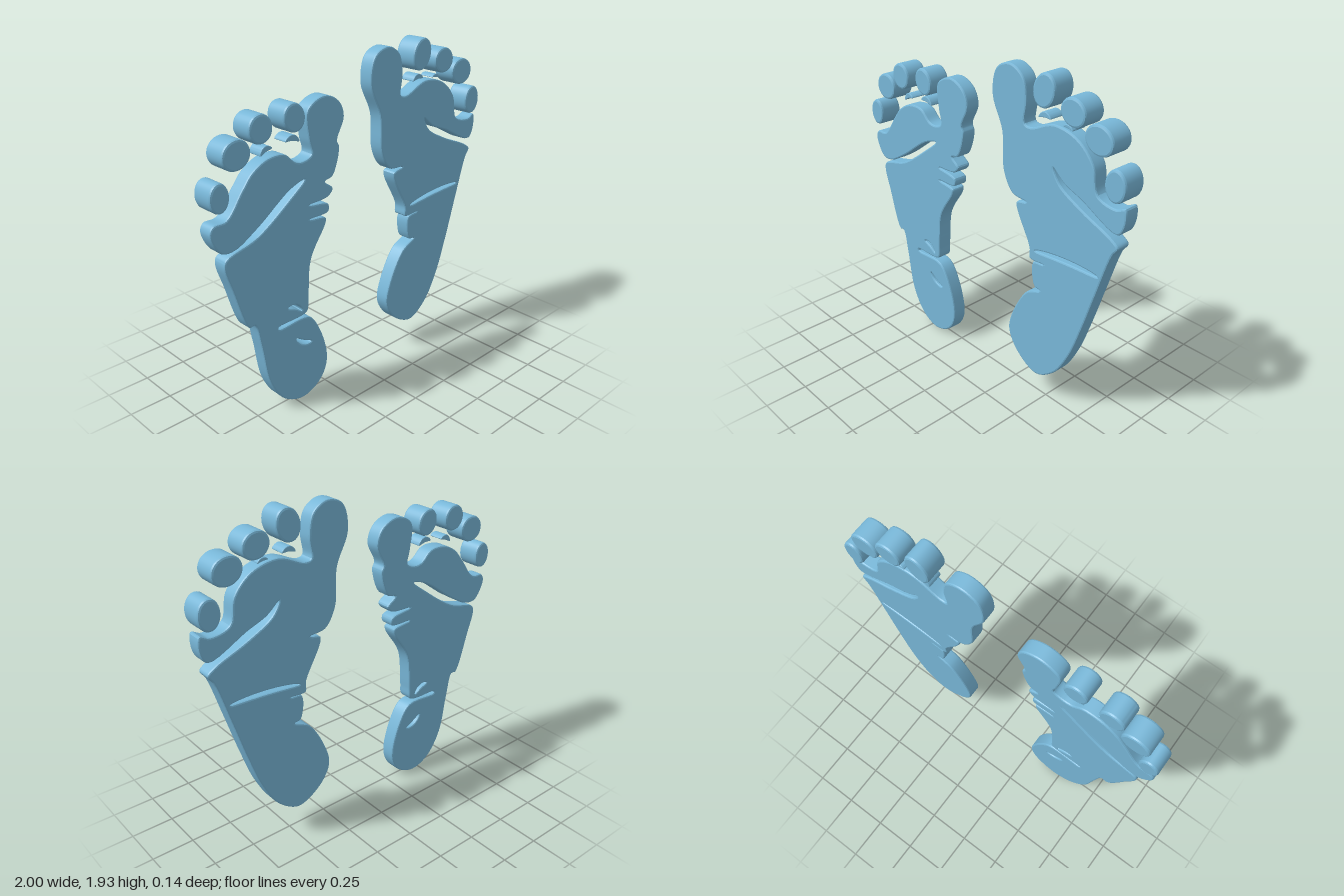
import * as THREE from 'three';
import { toCreasedNormals } from 'three/addons/utils/BufferGeometryUtils.js';

const SOLE_HALF = 0.045;
const TOE_HALF = 0.068;

// Smooth closed outline through a flat list of x, y pairs
function outline(flat) {
  const pts = [];
  for (let i = 0; i < flat.length; i += 2) pts.push(new THREE.Vector3(flat[i], flat[i + 1], 0));
  const curve = new THREE.CatmullRomCurve3(pts, true, 'centripetal');
  return curve.getPoints(pts.length * 6).slice(0, -1).map((p) => new THREE.Vector2(p.x, p.y));
}

// Tilted oval, bowed upwards in the middle by the given amount
function oval(x, y, rx, ry, tilt, bow = 0) {
  const centre = new THREE.Vector2(x, y);
  const pts = [];
  for (let i = 0; i < 40; i++) {
    const a = (i / 40) * Math.PI * 2;
    const lift = bow * (1 - 2 * Math.cos(a) ** 2);
    const p = new THREE.Vector2(rx * Math.cos(a), ry * Math.sin(a) + lift);
    pts.push(p.rotateAround(new THREE.Vector2(), tilt).add(centre));
  }
  return pts;
}

// Thin bowed oval used for skin creases and slits
function arch(x, y, rx, ry, tilt) {
  return oval(x, y, rx, ry * 0.75, tilt, ry * 0.4);
}

// Flat slab with softly rounded edges, centred on z = 0
function slab(name, points, holes, half, bevel, material) {
  const shape = new THREE.Shape(points);
  for (const hole of holes) shape.holes.push(new THREE.Path(hole));
  const geometry = new THREE.ExtrudeGeometry(shape, {
    depth: 2 * (half - bevel), steps: 1, bevelEnabled: true, bevelSegments: 2,
    bevelThickness: bevel, bevelSize: bevel, bevelOffset: -bevel,
  });
  geometry.translate(0, 0, bevel - half);
  const mesh = new THREE.Mesh(toCreasedNormals(geometry, 0.36), material);
  mesh.name = name;
  return mesh;
}

// Left sole: big toe and ball, crease, outer edge and heel, inner edge
const leftSole = [
  0.21, 1.92, 0.3, 1.87, 0.328, 1.75, 0.318, 1.635, 0.36, 1.625, 0.52, 1.685, 0.68, 1.65,
  0.78, 1.55, 0.815, 1.41, 0.93, 1.38, 0.985, 1.4, 0.99, 1.31, 0.95, 1.25,
  0.72, 1.35, 0.6, 1.4, 0.525, 1.46, 0.57, 1.385, 0.72, 1.3, 0.92, 1.215,
  0.96, 1.18, 0.93, 1.13, 0.85, 0.88, 0.77, 0.62, 0.69, 0.4, 0.585, 0.23, 0.45, 0.15,
  0.3, 0.225, 0.23, 0.34, 0.245, 0.45, 0.36, 0.66, 0.46, 0.715,
  0.42, 0.725, 0.405, 0.87, 0.48, 0.885, 0.38, 0.885, 0.375, 0.95, 0.27, 1.18,
  0.34, 1.205, 0.24, 1.22, 0.17, 1.33, 0.155, 1.55, 0.08, 1.73, 0.11, 1.88,
];

// Right sole: big toe and wrinkles, crease, heel and outer edge, crease, ball
const rightSole = [
  -0.26, 1.735, -0.155, 1.69, -0.12, 1.6, -0.17, 1.48, -0.155, 1.44, -0.205, 1.29,
  -0.26, 1.27, -0.205, 1.22, -0.24, 1.18, -0.375, 1.167, -0.24, 1.14, -0.24, 1.095,
  -0.375, 1.085, -0.26, 1.065, -0.26, 1.035, -0.37, 0.855, -0.395, 0.63,
  -0.41, 0.545, -0.61, 0.525, -0.61, 0.512, -0.4, 0.51,
  -0.32, 0.405, -0.265, 0.18, -0.32, 0.06, -0.45, 0.002, -0.58, 0.05, -0.68, 0.2,
  -0.73, 0.46, -0.765, 0.6, -0.8, 0.6, -0.89, 0.85, -0.93, 0.99, -0.915, 1.03,
  -0.72, 1.093, -0.5, 1.24, -0.405, 1.317, -0.5, 1.287, -0.715, 1.14, -0.865, 1.062,
  -0.94, 1.07, -1, 1.18, -0.98, 1.225, -0.9, 1.235, -0.8, 1.36, -0.735, 1.435, -0.64, 1.485,
  -0.53, 1.485, -0.455, 1.425, -0.4, 1.42, -0.35, 1.445, -0.365, 1.53, -0.37, 1.68,
];

// Ovals below are x, y, half width, half height, tilt
const leftSlits = [[0.635, 0.967, 0.215, 0.015, 0.075]];
const leftToes = [
  [0.465, 1.845, 0.072, 0.092, -0.3], [0.655, 1.785, 0.08, 0.073, -0.3],
  [0.82, 1.695, 0.088, 0.077, -0.2], [0.933, 1.503, 0.063, 0.085, 0],
];
const leftCreases = [[0.455, 1.71, 0.042, 0.02, 0.1], [0.61, 1.695, 0.032, 0.013, -0.15]];

const rightSlits = [[-0.49, 0.597, 0.052, 0.016, -0.47], [-0.44, 0.368, 0.06, 0.016, 2.63]];
const rightToes = [
  [-0.475, 1.665, 0.068, 0.078, 0.35], [-0.685, 1.65, 0.072, 0.076, 0.2],
  [-0.835, 1.553, 0.084, 0.078, 0.2], [-0.945, 1.365, 0.057, 0.078, 0],
];
const rightCreases = [[-0.645, 1.53, 0.04, 0.02, 0.35], [-0.475, 1.55, 0.047, 0.022, -0.15]];

function buildFoot(name, sole, slits, toes, creases, material) {
  const foot = new THREE.Group();
  foot.name = name;
  const holes = slits.map((s) => arch(...s));
  foot.add(slab('sole', outline(sole), holes, SOLE_HALF, 0.009, material));
  toes.forEach((t, i) => foot.add(slab(`toe${i + 2}`, oval(...t), [], TOE_HALF, 0.012, material)));
  creases.forEach((c, i) => foot.add(slab(`toeCrease${i + 1}`, arch(...c), [], SOLE_HALF, 0.004, material)));
  return foot;
}

export function createModel() {
  const blue = new THREE.MeshStandardMaterial({ color: 0x78b7d8 });
  blue.name = 'softBlue';
  const model = new THREE.Group();
  model.name = 'footprints';
  model.add(
    buildFoot('leftFoot', leftSole, leftSlits, leftToes, leftCreases, blue),
    buildFoot('rightFoot', rightSole, rightSlits, rightToes, rightCreases, blue),
  );
  return model;
}
